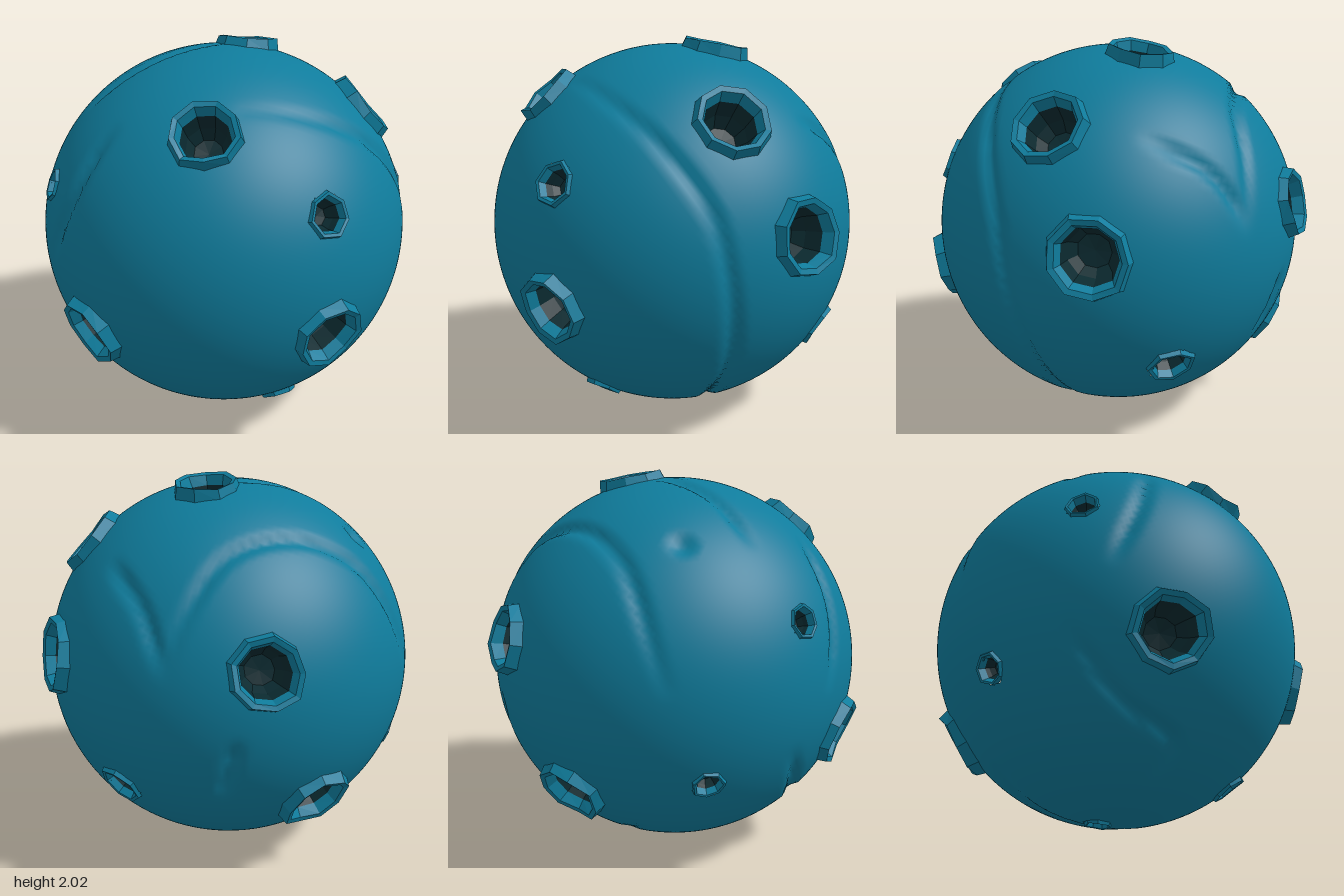
import * as THREE from 'three';
import { mergeVertices } from 'three/addons/utils/BufferGeometryUtils.js';

const R = 0.98;
const CENTRE = new THREE.Vector3(-0.015, 0.98, 0.015);
const UP = new THREE.Vector3(0, 1, 0);

// x, y, z of each crater measured from the middle, then outer radius
const CRATERS = [
  [-0.07, 0.71, 0.67, 0.18], [0.52, -0.23, 0.8, 0.19], [-0.63, -0.3, 0.67, 0.2],
  [0.71, 0.65, -0.04, 0.2], [0.88, 0.12, -0.37, 0.21], [0.1, 0.95, -0.18, 0.18],
  [-0.17, 0.2, -0.93, 0.19], [-0.43, -0.54, -0.68, 0.2],
  [0.49, 0.37, 0.75, 0.115], [0.3, -0.78, 0.5, 0.1], [-0.87, 0.34, 0.35, 0.09],
  [0.54, -0.49, -0.62, 0.13], [-0.88, -0.4, -0.13, 0.085], [-0.07, -0.97, -0.06, 0.075],
];

// Crooked cracks that run over the surface
const CRACKS = [
  [[0.1, 0.79, 0.55], [0.45, 0.72, 0.46], [0.74, 0.55, 0.3], [0.91, 0.27, 0.13], [0.97, -0.08, 0.05],
    [0.85, -0.48, 0], [0.45, -0.86, -0.02], [0.15, -0.96, -0.08], [-0.23, -0.88, -0.33], [-0.5, -0.76, -0.36]],
  [[-0.67, 0.69, 0.15], [-0.35, 0.9, 0.05], [-0.05, 0.96, -0.08]],
  [[-0.9, 0.1, -0.35], [-0.6, 0.61, -0.45], [-0.3, 0.74, -0.55], [0, 0.69, -0.68], [0.2, 0.45, -0.83], [0.31, 0.21, -0.9]],
  [[0.56, 0.62, -0.48], [0.4, 0.45, -0.75], [0.31, 0.21, -0.9]],
  [[-0.5, 0.66, 0.5], [-0.72, 0.32, 0.57], [-0.82, 0.02, 0.5]],
  [[-0.87, -0.3, 0.3], [-0.65, -0.58, 0.42], [-0.38, -0.72, 0.53], [-0.3, -0.83, 0.4]],
  [[-0.03, -0.14, -0.95], [0.04, -0.43, -0.85]],
];
const DENT = new THREE.Vector3(-0.65, 0.7, -0.2).setLength(R);

let seed = 7;
const rand = () => (seed = (seed * 16807) % 2147483647) / 2147483647;

const toSurface = (x, y, z) => new THREE.Vector3(x, y, z).sub(new THREE.Vector3(CENTRE.x, 0, CENTRE.z)).setLength(R);

// Sphere with cracks pressed in and holes cut under the craters
function bodyGeometry(craters) {
  let geo = new THREE.IcosahedronGeometry(R, 36);
  geo.deleteAttribute('normal');
  geo.deleteAttribute('uv');
  geo = mergeVertices(geo, 1e-4);

  const trail = [];
  for (const path of CRACKS) {
    const curve = new THREE.CatmullRomCurve3(path.map((p) => toSurface(...p)));
    const n = Math.ceil(curve.getLength() / 0.018);
    for (let i = 0; i <= n; i++) {
      const t = i / n;
      trail.push({ p: curve.getPointAt(t).setLength(R), depth: 0.032 * Math.min(1, 0.15 + 4 * Math.min(t, 1 - t)) });
    }
  }

  const pos = geo.attributes.position;
  const v = new THREE.Vector3();
  for (let i = 0; i < pos.count; i++) {
    v.fromBufferAttribute(pos, i);
    let sink = 0;
    for (const { p, depth } of trail) {
      const d = v.distanceTo(p);
      if (d < 0.06) sink = Math.max(sink, depth * (1 - d / 0.06) ** 1.3);
    }
    sink = Math.max(sink, 0.035 * Math.max(0, 1 - v.distanceTo(DENT) / 0.08));
    v.setLength(R - sink);
    pos.setXYZ(i, v.x, v.y, v.z);
  }

  const index = geo.index.array;
  const kept = [];
  const mid = new THREE.Vector3();
  for (let i = 0; i < index.length; i += 3) {
    mid.set(0, 0, 0);
    for (let k = 0; k < 3; k++) mid.add(v.fromBufferAttribute(pos, index[i + k]));
    mid.setLength(R);
    if (!craters.some((c) => c.at.distanceTo(mid) < c.r * 0.82)) kept.push(index[i], index[i + 1], index[i + 2]);
  }
  geo.setIndex(kept);
  geo.computeVertexNormals();
  return geo;
}

// Lathe whose rings are made uneven; the same offsets keep rim and pit joined
function roughLathe(profile, sides, wobble) {
  const geo = new THREE.LatheGeometry(profile.map(([x, y]) => new THREE.Vector2(x, y)), sides);
  const pos = geo.attributes.position;
  for (let i = 0; i < pos.count; i++) {
    const { grow, lift } = wobble[Math.floor(i / profile.length) % sides];
    const k = profile[i % profile.length][2];
    pos.setXYZ(i, pos.getX(i) * grow, pos.getY(i) + lift * k, pos.getZ(i) * grow);
  }
  geo.computeVertexNormals();
  return geo;
}

function createCrater({ at, r }, rimMaterial, pitMaterial) {
  const big = r > 0.15;
  const sides = big ? 9 : 7;
  const high = big ? 0.036 : 0.014;
  const deep = big ? 0.17 : r * 0.8;
  const drop = R - Math.sqrt(R * R - r * r);
  const wobble = Array.from({ length: sides }, () => ({
    grow: 0.95 + 0.11 * rand(),
    lift: (rand() - 0.5) * high * 0.7,
  }));
  const lip = [r * 0.67, -0.025, 0.5];

  const crater = new THREE.Group();
  crater.name = 'crater';
  const rim = new THREE.Mesh(
    roughLathe([[r, -drop - 0.012, 0], [r * 0.91, high, 1], [r * 0.77, high * 0.8, 1], lip], sides, wobble), rimMaterial);
  rim.name = 'craterRim';
  const pit = new THREE.Mesh(
    roughLathe([lip, [r * 0.58, -deep * 0.65, 0], [r * 0.4, -deep, 0], [0, -deep * 1.05, 0]], sides, wobble), pitMaterial);
  pit.name = 'craterPit';
  crater.add(rim, pit);
  crater.position.copy(at);
  crater.quaternion.setFromUnitVectors(UP, at.clone().normalize());
  return crater;
}

export function createModel() {
  const model = new THREE.Group();
  model.name = 'crateredPlanet';
  const surface = new THREE.MeshStandardMaterial({ color: 0x0f7c9c });
  const rimMaterial = new THREE.MeshStandardMaterial({ color: 0x0f7c9c, flatShading: true });
  const pitMaterial = new THREE.MeshStandardMaterial({ color: 0x0b2a30, flatShading: true });

  const craters = CRATERS.map(([x, y, z, r]) => ({ at: toSurface(x, y, z), r }));
  const planet = new THREE.Group();
  planet.name = 'planet';
  planet.position.copy(CENTRE);
  const body = new THREE.Mesh(bodyGeometry(craters), surface);
  body.name = 'crackedSurface';
  planet.add(body);
  for (const c of craters) planet.add(createCrater(c, rimMaterial, pitMaterial));
  model.add(planet);
  return model;
}
